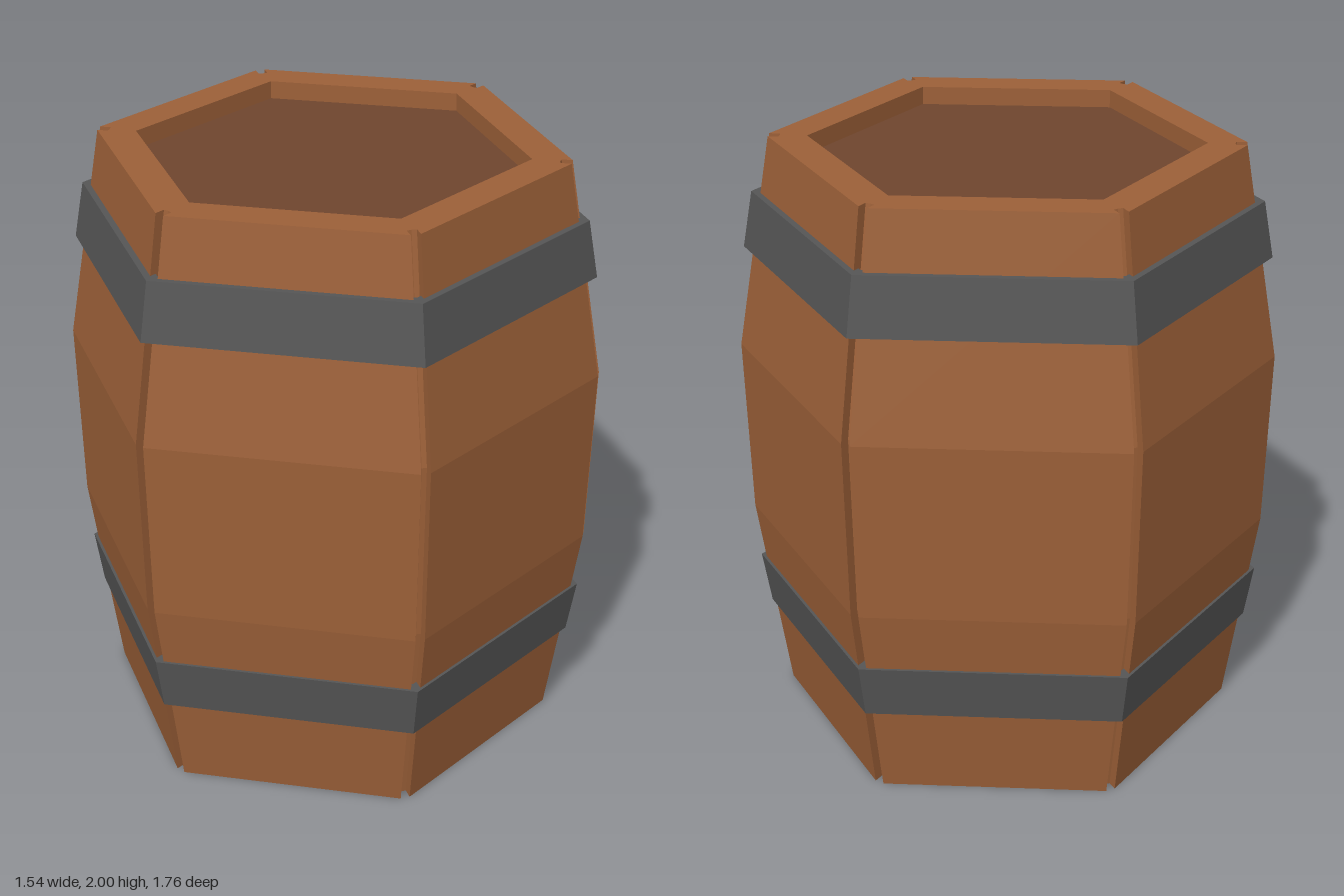
import * as THREE from 'three';

const SIDES = 6;
const HALF_TAN = Math.tan(Math.PI / SIDES);
const COS = Math.cos(Math.PI / SIDES);
const INNER = 0.55; // distance from the axis to the inner wall

// Barrel profile: [height, distance from the axis to the flat outer face]
const PROFILE = [[0, 0.665], [0.68, 0.755], [1.28, 0.77], [2, 0.665]];

const mat = (color) => new THREE.MeshStandardMaterial({ color, flatShading: true });

// Plan outline of one stave facing +z: mitred inside, with a stepped groove at each outer corner
function staveOutline(a) {
  const gap = 0.018, depth = 0.04;
  const half = [
    [INNER * HALF_TAN, INNER],
    [(a - depth) * HALF_TAN, a - depth],
    [(a - depth + 0.01) * HALF_TAN - gap, a - depth + 0.01],
    [a * HALF_TAN - gap, a],
  ];
  const mirrored = half.map(([x, z]) => [-x, z]).reverse();
  return [...half, ...mirrored];
}

// Stave: outlines stacked along the profile, closed with caps
function staveGeometry() {
  const pos = [], index = [];
  const n = staveOutline(0.7).length;
  for (const [y, a] of PROFILE) {
    for (const [x, z] of staveOutline(a)) pos.push(x, y, z);
  }
  for (let r = 0; r < PROFILE.length - 1; r++) {
    for (let i = 0; i < n; i++) {
      const a = r * n + i, b = r * n + (i + 1) % n;
      index.push(a, a + n, b, b, a + n, b + n);
    }
  }
  // caps fan out from the middle of the inner edge
  for (const [row, top] of [[0, false], [PROFILE.length - 1, true]]) {
    const c = pos.length / 3;
    pos.push(0, PROFILE[row][0], INNER);
    for (let i = 0; i < n - 1; i++) {
      const a = row * n + i, b = a + 1;
      if (top) index.push(c, b, a);
      else index.push(c, a, b);
    }
  }
  // orient every face outward
  for (let i = 0; i < index.length; i += 3) {
    [index[i + 1], index[i + 2]] = [index[i + 2], index[i + 1]];
  }
  const geo = new THREE.BufferGeometry();
  geo.setAttribute('position', new THREE.Float32BufferAttribute(pos, 3));
  geo.setIndex(index);
  orientOutward(geo);
  geo.computeVertexNormals();
  return geo;
}

// Flip all faces if the enclosed volume comes out negative
function orientOutward(geo) {
  const p = geo.attributes.position, idx = geo.index.array;
  const [a, b, c] = [0, 1, 2].map(() => new THREE.Vector3());
  let volume = 0;
  for (let i = 0; i < idx.length; i += 3) {
    a.fromBufferAttribute(p, idx[i]);
    b.fromBufferAttribute(p, idx[i + 1]);
    c.fromBufferAttribute(p, idx[i + 2]);
    volume += a.dot(b.cross(c));
  }
  if (volume < 0) {
    for (let i = 0; i < idx.length; i += 3) [idx[i + 1], idx[i + 2]] = [idx[i + 2], idx[i + 1]];
  }
}

// Metal band: a closed six-sided ring that follows the slope of the staves
function band(name, y0, a0, y1, a1, material) {
  const t = 0.04;
  const pts = [[a0 - t, y0], [a0, y0], [a1, y1], [a1 - t, y1], [a0 - t, y0]]
    .map(([a, y]) => new THREE.Vector2(a / COS, y));
  const mesh = new THREE.Mesh(new THREE.LatheGeometry(pts, SIDES), material);
  mesh.name = name;
  return mesh;
}

export function createModel() {
  const barrel = new THREE.Group();
  barrel.name = 'barrel';
  const wood = mat(0x9c6038), darkWood = mat(0x6f452e), metal = mat(0x555555);

  // Staves
  const staves = new THREE.Group();
  staves.name = 'staves';
  const geo = staveGeometry();
  for (let i = 0; i < SIDES; i++) {
    const stave = new THREE.Mesh(geo, wood);
    stave.name = 'stave' + (i + 1);
    stave.rotation.y = (i + 0.5) * 2 * Math.PI / SIDES;
    staves.add(stave);
  }
  barrel.add(staves);

  // Recessed lid and base
  for (const [name, y] of [['lid', 1.915], ['base', 0.085]]) {
    const r = (INNER + 0.005) / COS;
    const disc = new THREE.Mesh(new THREE.CylinderGeometry(r, r, 0.05, SIDES), darkWood);
    disc.name = name;
    disc.position.y = y;
    barrel.add(disc);
  }

  // Metal bands
  barrel.add(band('upperBand', 1.62, 0.742, 1.81, 0.713, metal));
  barrel.add(band('lowerBand', 0.3, 0.712, 0.48, 0.738, metal));
  return barrel;
}
